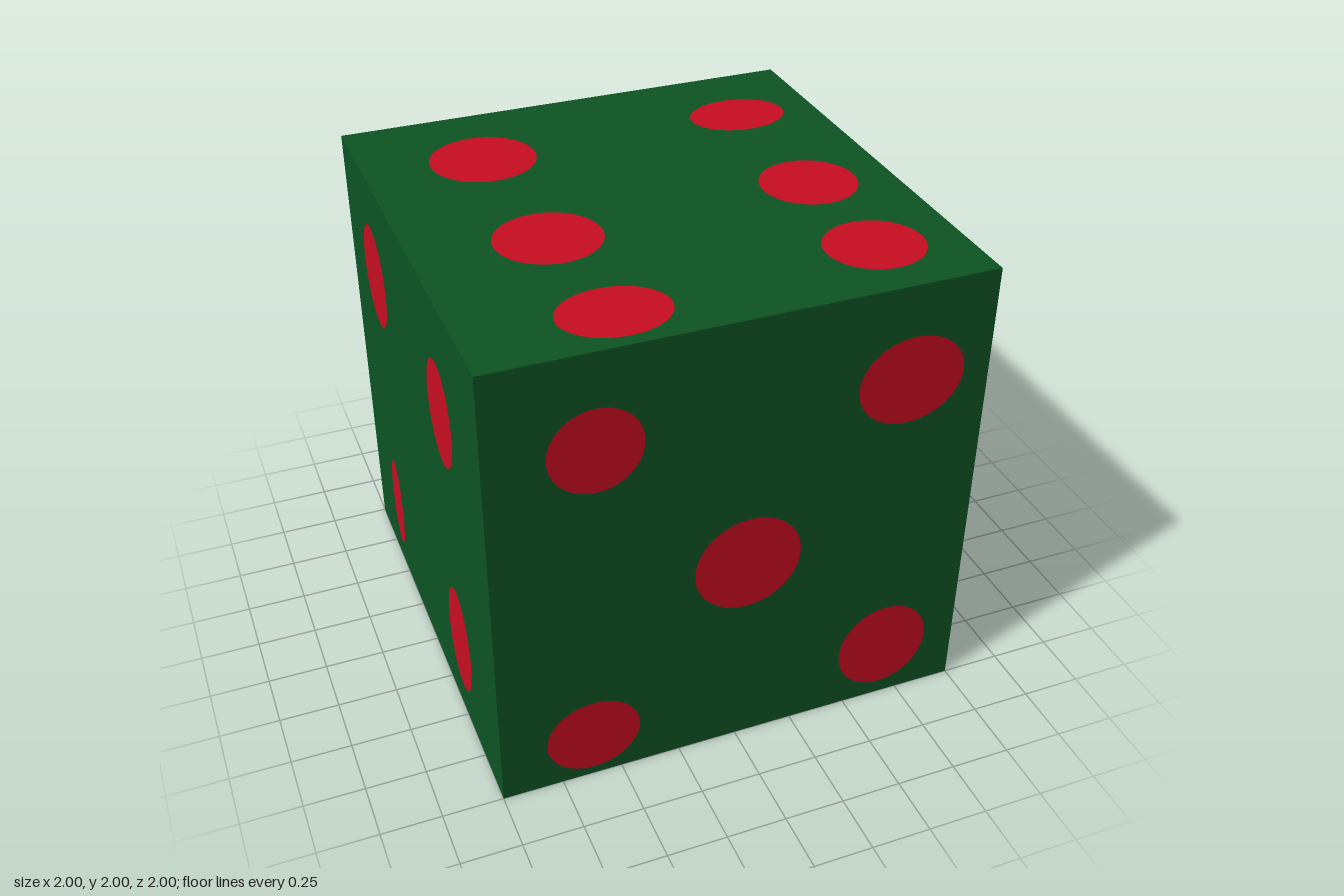
import * as THREE from 'three';

// Each pip: [u, v, radius u, radius v], measured from the centre of its face.
const FACES = [
  { name: 'front', rot: [0, 0, 0], pips: [
    [-0.58, 0.59, 0.185, 0.18], [0.67, 0.59, 0.22, 0.19], [0.03, -0.1, 0.222, 0.215],
    [-0.615, -0.79, 0.195, 0.175], [0.665, -0.735, 0.2, 0.205]] },
  { name: 'right', rot: [0, Math.PI / 2, 0], pips: [
    [0.03, 0.445, 0.245, 0.225], [-0.675, -0.68, 0.22, 0.155], [0.38, -0.585, 0.152, 0.165]] },
  { name: 'back', rot: [0, Math.PI, 0], pips: [
    [-0.575, 0.485, 0.21, 0.21], [0.53, -0.515, 0.222, 0.228]] },
  { name: 'left', rot: [0, -Math.PI / 2, 0], pips: [
    [-0.565, 0.547, 0.185, 0.23], [0.44, 0.495, 0.17, 0.227],
    [0.455, -0.62, 0.16, 0.255], [-0.607, -0.67, 0.09, 0.233]] },
  { name: 'top', rot: [-Math.PI / 2, 0, 0], pips: [
    [-0.505, 0.565, 0.222, 0.212], [0.65, 0.595, 0.21, 0.157], [-0.47, -0.18, 0.215, 0.205],
    [0.65, -0.11, 0.2, 0.198], [-0.425, -0.775, 0.217, 0.17], [0.65, -0.67, 0.2, 0.19]] },
  { name: 'bottom', rot: [Math.PI / 2, 0, 0], pips: [[0.01, 0.03, 0.36, 0.36]] },
];

export function createModel() {
  const green = new THREE.MeshStandardMaterial({ color: 0x0e5524 });
  green.name = 'green';
  const red = new THREE.MeshStandardMaterial({ color: 0xca0d22 });
  red.name = 'red';

  const die = new THREE.Group();
  die.name = 'die';

  for (const { name, rot, pips } of FACES) {
    const side = new THREE.Group();
    side.name = name + 'Side';

    // square face, cut out where the flush pips sit
    const square = new THREE.Shape([[-1, -1], [1, -1], [1, 1], [-1, 1]]
      .map(([x, y]) => new THREE.Vector2(x, y)));

    pips.forEach(([u, v, ru, rv], i) => {
      const oval = new THREE.Shape().absellipse(u, v, ru, rv, 0, Math.PI * 2, false, 0);
      square.holes.push(oval);
      const pip = new THREE.Mesh(new THREE.ShapeGeometry(oval, 40), red);
      pip.name = `${name}Pip${i + 1}`;
      pip.position.z = 1;
      side.add(pip);
    });

    const face = new THREE.Mesh(new THREE.ShapeGeometry(square, 40), green);
    face.name = name + 'Face';
    face.position.z = 1;
    side.add(face);

    side.rotation.set(...rot);
    side.position.y = 1;
    die.add(side);
  }
  return die;
}
